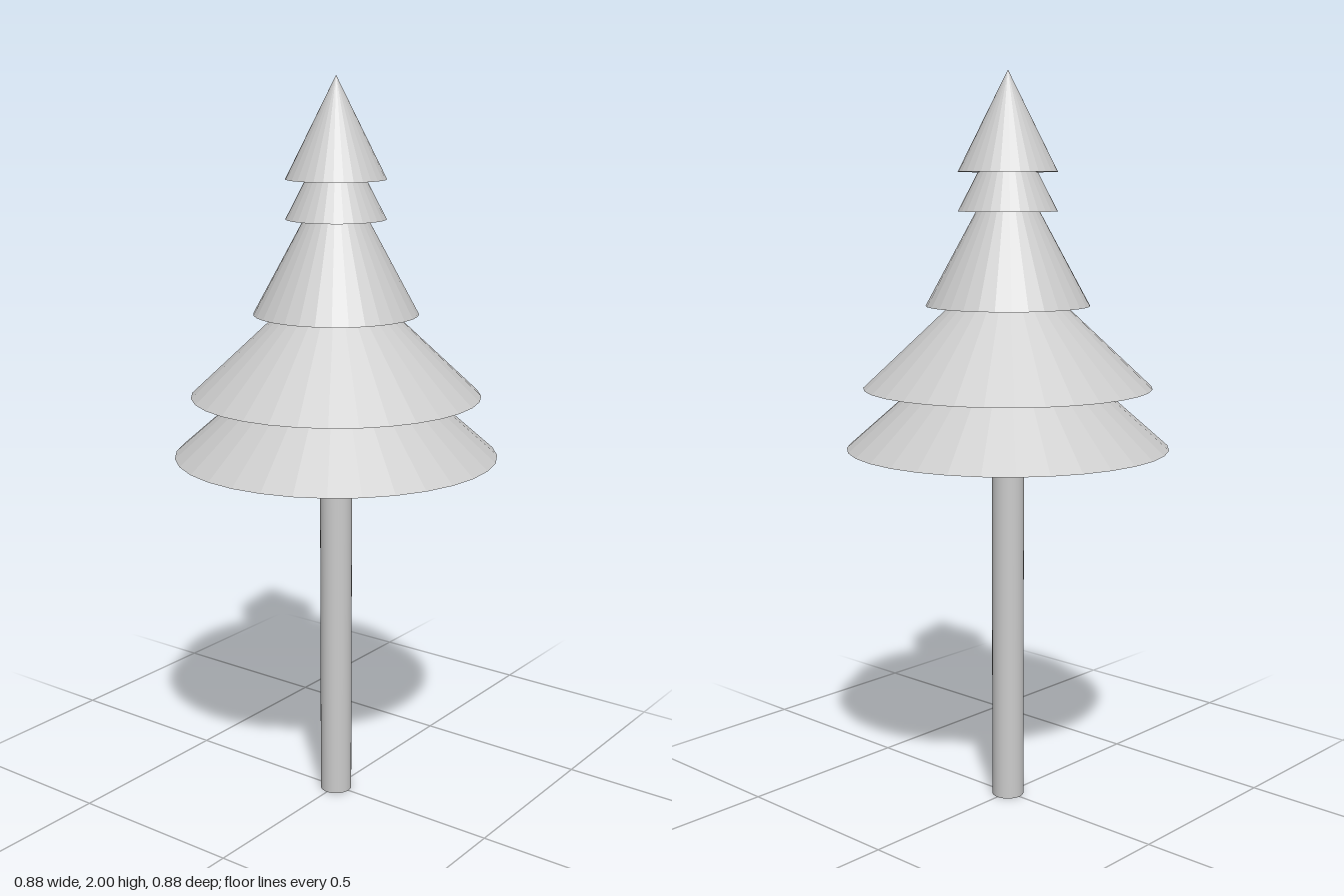
import * as THREE from 'three';

const SEGMENTS = 32;

export function createModel() {
  const tree = new THREE.Group();
  tree.name = 'tree';

  const foliageMaterial = new THREE.MeshStandardMaterial({ color: 0xcccccc, flatShading: true });
  const trunkMaterial = new THREE.MeshStandardMaterial({ color: 0xcccccc });

  // Slim round trunk
  const trunkHeight = 1.0;
  const trunk = new THREE.Mesh(
    new THREE.CylinderGeometry(0.044, 0.044, trunkHeight, SEGMENTS),
    trunkMaterial
  );
  trunk.name = 'trunk';
  trunk.position.y = trunkHeight / 2;
  tree.add(trunk);

  // Overlapping foliage cones, lowest first: [radius, base y, tip y]
  const tiers = [
    [0.438, 1.0, 1.385],
    [0.391, 1.164, 1.53],
    [0.221, 1.384, 1.79],
    [0.133, 1.634, 1.89],
    [0.133, 1.737, 2.0],
  ];
  tiers.forEach(([radius, base, tip], i) => {
    const height = tip - base;
    const tier = new THREE.Mesh(
      new THREE.ConeGeometry(radius, height, SEGMENTS),
      foliageMaterial
    );
    tier.name = `foliageTier${i + 1}`;
    tier.position.y = base + height / 2;
    tree.add(tier);
  });

  return tree;
}
